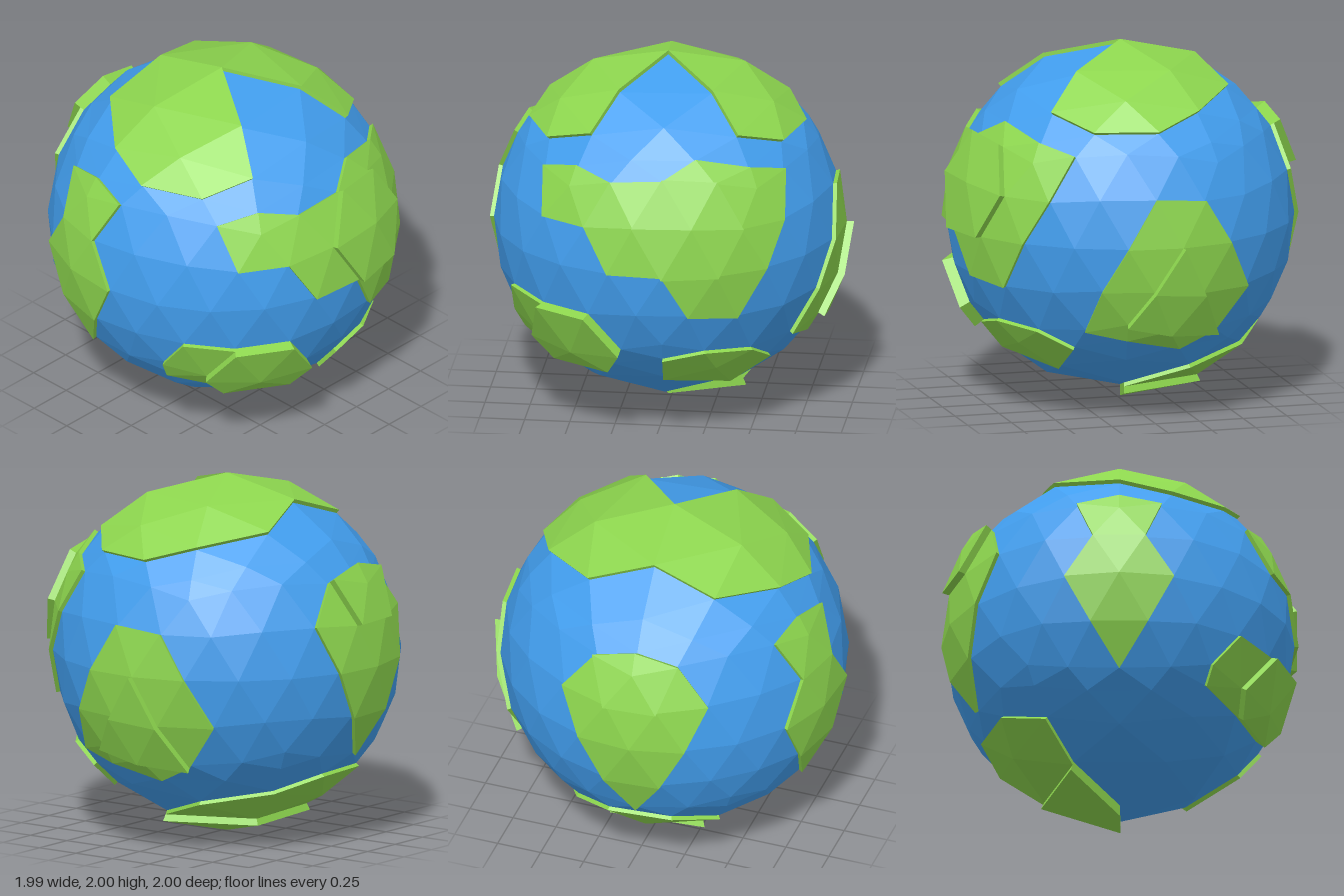
import * as THREE from 'three';

const SEA = 0.957, LOW = 0.98, HIGH = 1.02; // radii: water, land, raised land
const TURN = 40.7;                          // turn of the globe about its pole, degrees

// Geodesic unit sphere with a vertex at each pole
function geodesic() {
  const pts = [0, 1, 0], idx = [];
  for (const [h, offset] of [[1, 0], [-1, 36]]) {
    for (let k = 0; k < 5; k++) {
      const a = THREE.MathUtils.degToRad(TURN + offset + 72 * k);
      pts.push(2 * Math.sin(a), h, 2 * Math.cos(a));
    }
  }
  pts.push(0, -1, 0);
  for (let k = 0; k < 5; k++) {
    const n = (k + 1) % 5, a = 1 + k, a2 = 1 + n, b = 6 + k, b2 = 6 + n;
    idx.push(0, a, a2, a, b, a2, b, b2, a2, 11, b2, b);
  }
  return new THREE.PolyhedronGeometry(pts, idx, 1, 3);
}

// Point of the globe that lies at (u, v) when facing one of its sides
const onSide = {
  front: (u, v, d) => [u, v, d],
  back: (u, v, d) => [u, v, -d],
  right: (u, v, d) => [d, v, u],
  left: (u, v, d) => [-d, v, u],
  top: (u, v, d) => [u, d, v],
  bottom: (u, v, d) => [u, -d, v],
};
const spot = (side, [u, v]) => new THREE.Vector3(...onSide[side](u, v, Math.sqrt(1 - u * u - v * v)));

const key = (p) => p.toArray().map((n) => Math.round(n * 1000)).join();
const centre = (f) => new THREE.Vector3().add(f[0]).add(f[1]).add(f[2]).normalize();

function nearest(items, target, place) {
  return items.reduce((a, b) => (place(a).distanceTo(target) <= place(b).distanceTo(target) ? a : b));
}

// Faces of a region: all those around each star point, plus single ones
function pick(faces, side, { stars = [], single = [] }) {
  const corners = faces.flat();
  const hubs = stars.map((s) => key(nearest(corners, spot(side, s), (p) => p)));
  const extra = single.map((s) => nearest(faces, spot(side, s), centre));
  return faces.filter((f) => extra.includes(f) || f.some((p) => hubs.includes(key(p))));
}

// Raises the chosen faces from r0 to r1 and walls their border
function plateau(chosen, r0, r1) {
  const edges = new Set(), out = [];
  const eachEdge = (fn) => chosen.forEach((f) => f.forEach((p, i) => fn(p, f[(i + 1) % 3])));
  const put = (p, r) => out.push(p.x * r, p.y * r, p.z * r);
  eachEdge((a, b) => edges.add(key(a) + '|' + key(b)));
  chosen.forEach((f) => f.forEach((p) => put(p, r1)));
  eachEdge((a, b) => {
    if (edges.has(key(b) + '|' + key(a))) return;
    put(a, r0); put(b, r0); put(b, r1);
    put(a, r0); put(b, r1); put(a, r1);
  });
  const g = new THREE.BufferGeometry();
  g.setAttribute('position', new THREE.Float32BufferAttribute(out, 3));
  g.computeVertexNormals();
  return g;
}

export function createModel() {
  const model = new THREE.Group();
  model.name = 'globe';
  const water = new THREE.MeshStandardMaterial({ color: 0x429eee, flatShading: true });
  const grass = new THREE.MeshStandardMaterial({ color: 0x8dd64e, flatShading: true });

  const sphere = geodesic();
  const pos = sphere.attributes.position;
  const faces = [];
  for (let i = 0; i < pos.count; i += 3) {
    faces.push([0, 1, 2].map((k) => new THREE.Vector3().fromBufferAttribute(pos, i + k)));
  }

  // Water
  const ocean = new THREE.Mesh(sphere.clone().scale(SEA, SEA, SEA), water);
  ocean.name = 'ocean';
  model.add(ocean);

  // Land, some of it with a raised plateau
  function addLand(name, side, low, high) {
    const land = new THREE.Group();
    land.name = name;
    const lowland = new THREE.Mesh(plateau(pick(faces, side, low), SEA, LOW), grass);
    lowland.name = 'lowland';
    land.add(lowland);
    if (high) {
      const highland = new THREE.Mesh(plateau(pick(faces, side, high), LOW, HIGH), grass);
      highland.name = 'highland';
      land.add(highland);
    }
    model.add(land);
  }

  addLand('frontContinent', 'front',
    { stars: [[-0.08, 0.27], [-0.47, 0.44], [0.58, 0.44], [0.36, 0.51], [0.51, 0.26], [0.39, 0]] },
    { stars: [[0.2, 0.26]] });
  addLand('lowerFrontIsland', 'front', { stars: [[0.32, -0.68]] });
  addLand('lowerSideIsland', 'front',
    { stars: [[-0.65, -0.52], [-0.44, -0.52]] },
    { stars: [[-0.44, -0.52]] });
  addLand('rightContinent', 'right',
    { stars: [[-0.08, 0], [0.2, -0.44], [-0.04, -0.5], [-0.22, -0.25], [0.07, -0.25]] },
    { single: [[-0.08, -0.16], [0.08, -0.39], [-0.19, -0.42], [-0.06, -0.33]] });
  addLand('leftContinent', 'left', { stars: [[-0.2, 0.44], [-0.22, 0]], single: [[-0.21, -0.36]] });
  addLand('backContinent', 'back',
    { stars: [[-0.07, 0.44], [0.08, 0.25], [-0.22, 0.25], [-0.08, 0]], single: [[-0.07, -0.36]] },
    { stars: [[-0.07, 0.44]] });
  addLand('topLeftContinent', 'top', { stars: [[-0.23, -0.06], [-0.39, 0.17]] });
  addLand('topRightContinent', 'top', { stars: [[0.47, -0.2], [0.41, 0.1], [0.67, 0]] });
  addLand('bottomContinent', 'bottom',
    { stars: [[0.13, -0.21], [0.27, -0.44], [-0.04, -0.42]] },
    { single: [[0.12, -0.05], [-0.01, -0.13], [0.25, -0.1]] });

  model.position.set(-0.02, 1.02, -0.02);
  return model;
}
